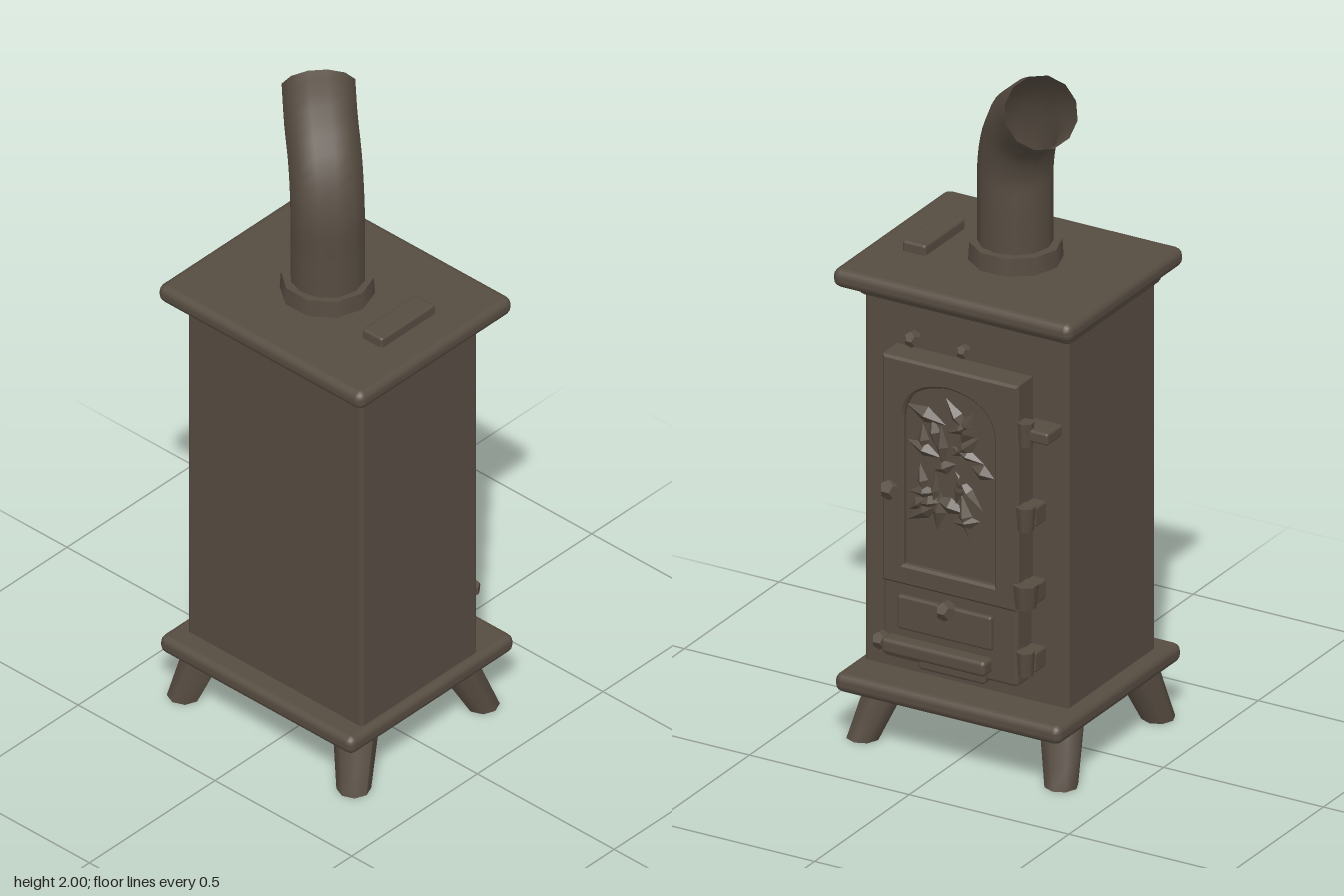
import * as THREE from 'three';
import { RoundedBoxGeometry } from 'three/addons/geometries/RoundedBoxGeometry.js';

export function createModel() {
  const stove = new THREE.Group();
  stove.name = 'woodStove';
  const iron = new THREE.MeshStandardMaterial({ color: 0x564c41, side: THREE.DoubleSide });
  iron.name = 'castIron';

  const add = (name, geometry, parent = stove) => {
    const mesh = new THREE.Mesh(geometry, iron);
    mesh.name = name;
    parent.add(mesh);
    return mesh;
  };
  // Softly rounded block given by its min and max corners
  const block = (name, [x0, y0, z0], [x1, y1, z1], r = 0.01, parent = stove) => {
    const g = new RoundedBoxGeometry(x1 - x0, y1 - y0, z1 - z0, 2, r);
    g.translate((x0 + x1) / 2, (y0 + y1) / 2, (z0 + z1) / 2);
    return add(name, g, parent);
  };

  // Firebox with its base, lid and the moulding beneath the lid
  block('body', [-0.262, 0.18, -0.32], [0.2, 1.36, 0.318], 0.012);
  block('basePlate', [-0.33, 0.155, -0.365], [0.325, 0.21, 0.342], 0.022);
  block('lid', [-0.328, 1.33, -0.374], [0.284, 1.386, 0.374], 0.024);
  block('lidMoulding', [-0.28, 1.29, -0.335], [0.215, 1.345, 0.335], 0.02);
  block('lidHandle', [-0.128, 1.37, 0.195], [0.086, 1.416, 0.268], 0.008);

  // Splayed legs: tapered cylinders sheared outward
  for (const [sx, top, foot] of [[-1, -0.21, -0.272], [1, 0.165, 0.24]]) {
    for (const [zTop, zFoot] of [[0.25, 0.298], [-0.28, -0.322]]) {
      const g = new THREE.CylinderGeometry(0.065, 0.047, 0.18, 8, 3);
      const p = g.attributes.position;
      for (let i = 0; i < p.count; i++) {
        const t = (0.09 - p.getY(i)) / 0.18;
        p.setXYZ(i, p.getX(i) + top + (foot - top) * t, p.getY(i) + 0.09,
          p.getZ(i) + zTop + (zFoot - zTop) * t);
      }
      g.computeVertexNormals();
      add(sx < 0 ? 'rightLeg' : 'leftLeg', g);
    }
  }

  // Flue collar and bent pipe
  const collar = add('flueCollar', new THREE.CylinderGeometry(0.126, 0.13, 0.06, 10));
  collar.position.set(-0.033, 1.407, -0.018);
  const flue = new THREE.CatmullRomCurve3([
    [-0.035, 1.4, -0.015], [-0.035, 1.55, -0.015], [-0.033, 1.68, -0.018],
    [-0.002, 1.79, -0.055], [0.052, 1.863, -0.12], [0.112, 1.91, -0.183],
  ].map((p) => new THREE.Vector3(...p)));
  add('fluePipe', new THREE.TubeGeometry(flue, 18, 0.103, 12));

  // Door on the +x side: a raised frame around a recessed panel
  const door = new THREE.Group();
  door.name = 'door';
  stove.add(door);
  const rect = (path, z0, y0, z1, y1) => path.moveTo(z0, y0).lineTo(z1, y0).lineTo(z1, y1).lineTo(z0, y1).closePath();
  const frame = rect(new THREE.Shape(), -0.21, 0.5, 0.215, 1.17);
  // Arched opening
  const hole = new THREE.Path();
  hole.moveTo(-0.135, 0.56).lineTo(0.15, 0.56).lineTo(0.15, 1.0)
    .quadraticCurveTo(0.14, 1.1, 0.0075, 1.11).quadraticCurveTo(-0.125, 1.1, -0.135, 1.0).closePath();
  frame.holes.push(hole);
  const frameGeo = new THREE.ExtrudeGeometry(frame, {
    depth: 0.075, bevelEnabled: true, bevelThickness: 0.007, bevelSize: 0.007, bevelOffset: -0.007, bevelSegments: 1,
  });
  // The drawn outline uses z as its first axis; mirror it before turning to face +x
  const shapeZ = frameGeo.attributes.position;
  for (let i = 0; i < shapeZ.count; i++) shapeZ.setX(i, -shapeZ.getX(i));
  const flat = frameGeo;
  for (let i = 0; i < shapeZ.count; i += 3) {
    const b = [shapeZ.getX(i + 1), shapeZ.getY(i + 1), shapeZ.getZ(i + 1)];
    shapeZ.setXYZ(i + 1, shapeZ.getX(i + 2), shapeZ.getY(i + 2), shapeZ.getZ(i + 2));
    shapeZ.setXYZ(i + 2, ...b);
  }
  flat.computeVertexNormals();
  flat.rotateY(Math.PI / 2).translate(0.2, 0, 0);
  add('doorFrame', flat, door);
  block('doorPanel', [0.19, 0.54, -0.15], [0.262, 1.13, 0.165], 0.006, door);

  // Relief of crossing leaves and stems on the panel
  let seed = 7;
  const rand = () => (seed = (seed * 16807) % 2147483647) / 2147483647;
  for (let i = 0; i < 26; i++) {
    const leaf = add('reliefLeaf', new THREE.OctahedronGeometry(1), door);
    leaf.scale.set(0.018, 0.014 + rand() * 0.012, 0.035 + rand() * 0.035);
    leaf.position.set(0.264, 0.72 + rand() * 0.33, 0.01 + (rand() - 0.5) * 0.2);
    leaf.rotation.x = rand() * Math.PI;
  }

  // Lower ash door with a projecting lip
  block('ashDoor', [0.19, 0.275, -0.205], [0.275, 0.51, 0.215], 0.01, door);
  block('ashDoorPanel', [0.26, 0.37, -0.13], [0.288, 0.47, 0.165], 0.008, door);
  const lip = block('ashLip', [0.2, 0.3, -0.125], [0.315, 0.345, 0.2], 0.012, door);
  lip.name = 'ashLip';
  block('ashLipBracket', [0.2, 0.265, -0.11], [0.29, 0.31, 0.1], 0.01, door);

  const knob = (name, x, y, z, r) => {
    const k = add(name, new THREE.DodecahedronGeometry(r), door);
    k.position.set(x, y, z);
    return k;
  };
  knob('ashKnob', 0.29, 0.46, 0.01, 0.03);
  knob('lipEnd', 0.285, 0.325, 0.215, 0.028);
  knob('doorTopKnob', 0.212, 1.2, 0.16, 0.025);
  knob('doorTopKnob', 0.212, 1.2, 0.0, 0.022);
  knob('latch', 0.278, 0.775, 0.19, 0.032);

  // Hinges along the back edge of the door
  for (const [y, r] of [[1.03, 0.024], [0.78, 0.028], [0.55, 0.036], [0.35, 0.026]]) {
    const pin = add('hingePin', new THREE.CylinderGeometry(r, r * 0.8, 0.07, 7), door);
    pin.position.set(0.265, y, -0.225);
    if (y > 1) block('hingeStrap', [0.19, y - 0.018, -0.3], [0.275, y + 0.018, -0.21], 0.008, door);
    else block('hingeStrap', [0.19, y - 0.03, -0.25], [0.255, y + 0.03, -0.2], 0.008, door);
  }

  return stove;
}
